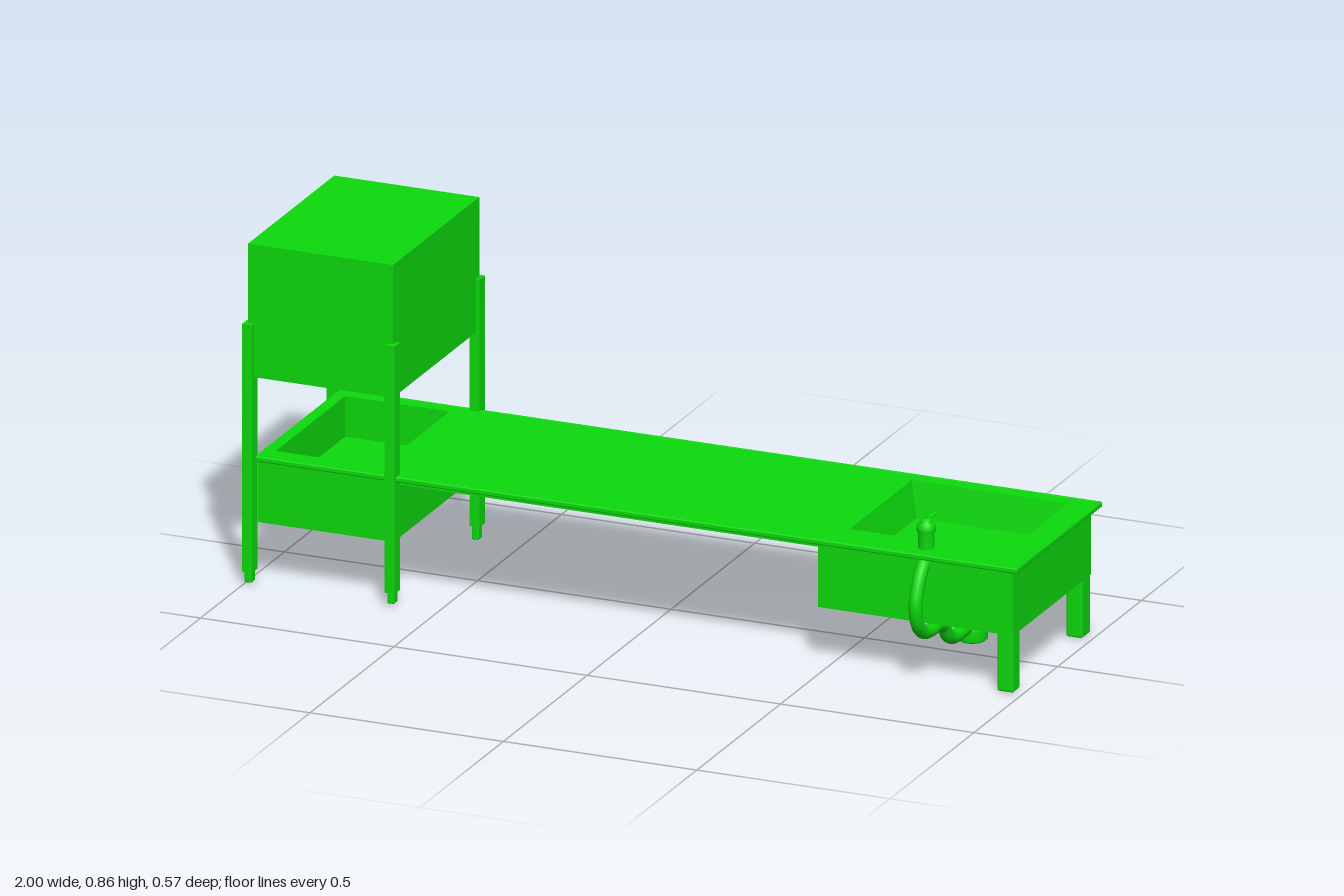
import * as THREE from 'three';
import { RoundedBoxGeometry } from 'three/addons/geometries/RoundedBoxGeometry.js';

const green = new THREE.MeshStandardMaterial({ color: 0x0cd80c });
const greenThin = new THREE.MeshStandardMaterial({ color: 0x0cd80c, side: THREE.DoubleSide });

function add(parent, name, geometry, material = green) {
  const mesh = new THREE.Mesh(geometry, material);
  mesh.name = name;
  parent.add(mesh);
  return mesh;
}

// Box given by its limits, optionally with rounded edges
function block(parent, name, [x0, x1], [y0, y1], [z0, z1], round = 0) {
  const size = [x1 - x0, y1 - y0, z1 - z0];
  const geo = round ? new RoundedBoxGeometry(...size, 2, round) : new THREE.BoxGeometry(...size);
  const mesh = add(parent, name, geo);
  mesh.position.set((x0 + x1) / 2, (y0 + y1) / 2, (z0 + z1) / 2);
  return mesh;
}

function trace(path, [x0, x1, z0, z1]) {
  path.moveTo(x0, -z1);
  path.lineTo(x1, -z1);
  path.lineTo(x1, -z0);
  path.lineTo(x0, -z0);
  path.closePath();
  return path;
}

// Horizontal plate with rectangular openings
function plate(parent, name, outline, y0, y1, openings) {
  const shape = trace(new THREE.Shape(), outline);
  for (const o of openings) shape.holes.push(trace(new THREE.Path(), o));
  const geo = new THREE.ExtrudeGeometry(shape, { depth: y1 - y0, bevelEnabled: false });
  geo.rotateX(-Math.PI / 2);
  geo.translate(0, y0, 0);
  return add(parent, name, geo);
}

function lathe(parent, name, points, x, z, segments = 32) {
  const mesh = add(parent, name, new THREE.LatheGeometry(points.map(p => new THREE.Vector2(...p)), segments), greenThin);
  mesh.position.set(x, 0, z);
  return mesh;
}

export function createModel() {
  const model = new THREE.Group();
  model.name = 'washingTable';

  const sinkHole = [0.525, 0.93, -0.225, 0.145];
  const trayHole = [-0.94, -0.67, -0.225, 0.19];

  // Counter top with its edge bead and the panel below it
  plate(model, 'counterTop', [-0.97, 0.997, -0.265, 0.242], 0.315, 0.327, [sinkHole, trayHole]);
  for (const [z, side] of [[-0.263, 'back'], [0.24, 'front']]) {
    block(model, side + 'EdgeBead', [-0.97, 1], [0.314, 0.328], [z - 0.005, z + 0.005], 0.004);
  }
  block(model, 'endEdgeBead', [0.99, 1], [0.314, 0.328], [-0.268, 0.245], 0.004);
  block(model, 'underPanel', [-0.62, 0.475], [0.3, 0.315], [-0.245, 0.22]);

  // Sink housing: solid below, frame around the tapered basin
  const sink = new THREE.Group();
  sink.name = 'sink';
  model.add(sink);
  const floorY = 0.24;
  block(sink, 'housingBase', [0.475, 0.98], [0.148, floorY], [-0.245, 0.22]);
  plate(sink, 'housingFrame', [0.475, 0.98, -0.245, 0.22], floorY, 0.315, [sinkHole]);
  const basin = new THREE.CylinderGeometry(Math.SQRT1_2, Math.SQRT1_2 * 0.9, 0.327 - floorY, 4, 1, true);
  basin.rotateY(Math.PI / 4);
  basin.scale(sinkHole[1] - sinkHole[0], 1, sinkHole[3] - sinkHole[2]);
  const liner = add(sink, 'basinWalls', basin.toNonIndexed(), greenThin);
  liner.geometry.computeVertexNormals();
  liner.position.set(0.7275, (0.327 + floorY) / 2, -0.04);

  // Sink legs
  for (const z of [[-0.243, -0.192], [0.178, 0.22]]) {
    block(model, 'sinkLeg', [0.938, 0.98], [0.003, 0.16], z, 0.005);
  }

  // Tray under the hood, recessed on both faces
  const tray = new THREE.Group();
  tray.name = 'tray';
  model.add(tray);
  const trayOutline = [-0.97, -0.62, -0.25, 0.225];
  plate(tray, 'trayWalls', trayOutline, 0.225, 0.315, [trayHole]);
  plate(tray, 'trayFloor', trayOutline, 0.21, 0.225, []);
  plate(tray, 'trayBottomFrame', trayOutline, 0.155, 0.21, [[-0.915, -0.675, -0.195, 0.17]]);

  // Hood carried by four posts with small feet
  block(model, 'hood', [-0.99, -0.615], [0.525, 0.86], [-0.275, 0.24]);
  for (const x of [-0.987, -0.618]) {
    for (const z of [-0.2685, 0.2365]) {
      block(model, 'post', [x - 0.013, x + 0.013], [0.035, 0.66], [z - 0.0165, z + 0.0165]);
      block(model, 'postFoot', [x - 0.009, x + 0.009], [z < 0 ? 0 : 0.007, 0.035], [z - 0.012, z + 0.012], 0.003);
    }
  }

  // Tap with lever
  const tap = new THREE.Group();
  tap.name = 'tap';
  model.add(tap);
  lathe(tap, 'tapBody', [[0.02, 0.32], [0.02, 0.367], [0.023, 0.37], [0.023, 0.38],
    [0.018, 0.389], [0.012, 0.392], [0.012, 0.399], [0, 0.4]], 0.742, 0.189);
  block(tap, 'tapLever', [0.737, 0.747], [0.394, 0.398], [0.133, 0.19], 0.0018);

  // Drain trap
  lathe(model, 'drainTrap', [[0, 0.01], [0.032, 0.01], [0.037, 0.015], [0.037, 0.04], [0.035, 0.05],
    [0.029, 0.06], [0.029, 0.112], [0.037, 0.113], [0.037, 0.118], [0.029, 0.119], [0.029, 0.15]], 0.75, -0.068);

  // Hose from the tap down to the trap
  const route = [[0.31, 0.2], [0.285, 0.23], [0.245, 0.255], [0.2, 0.267], [0.155, 0.255], [0.125, 0.222],
    [0.115, 0.18], [0.114, 0.135], [0.102, 0.102], [0.07, 0.078], [0.053, 0.045], [0.05, 0], [0.05, -0.05]];
  const path = new THREE.CatmullRomCurve3(route.map(([y, z]) => new THREE.Vector3(0.748, y, z)));
  add(model, 'hose', new THREE.TubeGeometry(path, 80, 0.0165, 16), greenThin);

  return model;
}
